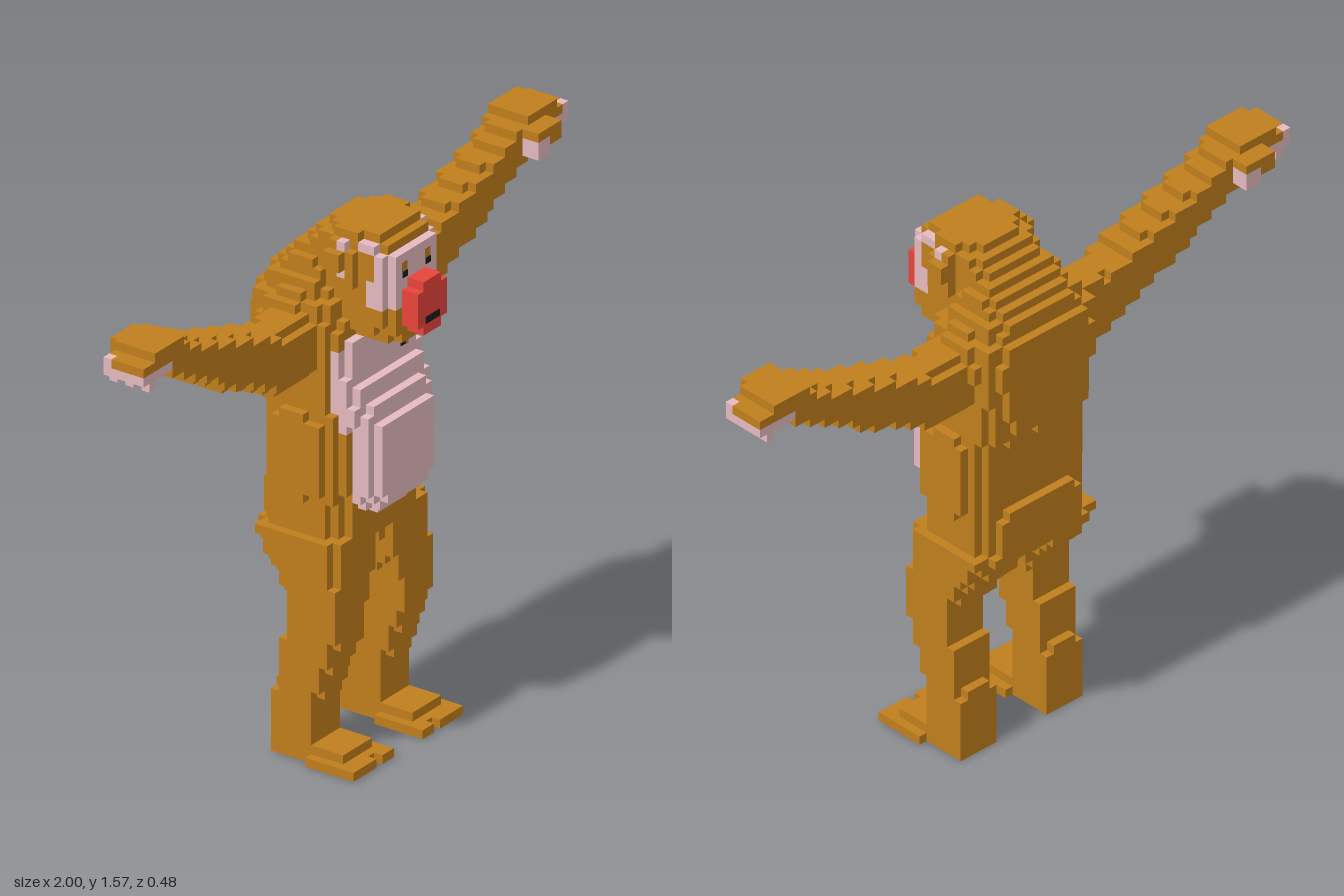
import * as THREE from 'three';

const V = 2 / 75;                 // edge of one cube
const NX = 75, NY = 59, NZ = 18;  // cube grid

const makeMat = (name, color) => {
  const m = new THREE.MeshStandardMaterial({ color });
  m.name = name;
  return m;
};

// Rounded body swept along an axis ('x' or 'y').
// rows: [t, a0, a1, b0, b1]; a is the other of x/y, b is z
function loft(axis, n, rows) {
  return (x, y, z) => {
    const t = axis === 'y' ? y : x, a = axis === 'y' ? x : y;
    if (t < rows[0][0] || t > rows[rows.length - 1][0]) return false;
    let i = 1;
    while (t > rows[i][0]) i++;
    const p = rows[i - 1], q = rows[i], k = (t - p[0]) / (q[0] - p[0]);
    const [a0, a1, b0, b1] = [1, 2, 3, 4].map(j => p[j] + (q[j] - p[j]) * k);
    const da = Math.abs((a - (a0 + a1) / 2) / ((a1 - a0) / 2));
    const db = Math.abs((z - (b0 + b1) / 2) / ((b1 - b0) / 2));
    return da ** n + db ** n <= 1;
  };
}
// Symmetric upright body, rows: [y, halfWidth, back, front]
const column = (n, rows) => loft('y', n, rows.map(([y, w, b, f]) => [y, -w, w, b, f]));
const box = (x0, x1, y0, y1, z0, z1) => (x, y, z) =>
  x > x0 && x < x1 && y > y0 && y < y1 && z > z0 && z < z1;

export function createModel() {
  const group = new THREE.Group();
  const fur = makeMat('brown fur', 0xbf7e1c);
  const skin = makeMat('pink skin', 0xe4babf);
  const red = makeMat('red muzzle', 0xe8443a);
  const black = makeMat('black', 0x1c1a18);

  const cells = new Array(NX * NY * NZ).fill(null);
  const parts = new Map();
  const at = (i, j, k) => (i < 0 || j < 0 || k < 0 || i >= NX || j >= NY || k >= NZ)
    ? null : cells[(i * NY + j) * NZ + k];
  // Fill cubes of a part; paint only relabels cubes already filled
  function add(name, mat, test, paintOnly = false) {
    parts.set(name, mat);
    for (let i = 0; i < NX; i++) for (let j = 0; j < NY; j++) for (let k = 0; k < NZ; k++) {
      const c = (i * NY + j) * NZ + k;
      if (paintOnly && !cells[c]) continue;
      if (test((i + 0.5 - NX / 2) * V, (j + 0.5) * V, (k + 0.5 - NZ / 2) * V)) cells[c] = name;
    }
  }
  const paint = (name, mat, test) => add(name, mat, test, true);

  // Torso with hunched, rounded upper back
  add('torso', fur, column(3.2, [
    [0.63, 0.2, -0.2, 0.083], [0.66, 0.207, -0.215, 0.085], [0.78, 0.207, -0.215, 0.085],
    [0.8, 0.23, -0.19, 0.085], [1.0, 0.23, -0.19, 0.085], [1.03, 0.212, -0.21, 0.08],
    [1.06, 0.212, -0.232, 0.07], [1.16, 0.212, -0.245, 0.07], [1.27, 0.225, -0.25, 0.06],
    [1.35, 0.215, -0.242, 0.04], [1.37, 0.19, -0.215, 0.01], [1.41, 0.17, -0.215, 0],
    [1.45, 0.14, -0.17, 0], [1.5, 0.1, -0.13, -0.02]]));

  // Bare chest and belly
  const bellyBody = column(4, [
    [0.73, 0.08, -0.1, 0.107], [0.765, 0.12, -0.1, 0.137], [0.8, 0.148, -0.1, 0.165],
    [0.99, 0.155, -0.1, 0.165], [1.02, 0.178, -0.1, 0.138], [1.09, 0.18, -0.1, 0.112],
    [1.14, 0.18, -0.1, 0.086], [1.2, 0.178, -0.1, 0.086], [1.255, 0.15, -0.1, 0.086]]);
  const bellyEdge = y => THREE.MathUtils.clamp(0.08 - (y - 0.9) * 0.6, 0, 0.08);
  add('belly', skin, (x, y, z) => bellyBody(x, y, z) && z > bellyEdge(y));

  // Legs and feet
  const leg = loft('y', 4, [
    [0, 0.09, 0.228, -0.134, 0.001], [0.19, 0.09, 0.228, -0.134, 0.01],
    [0.22, 0.09, 0.228, -0.108, 0.03], [0.34, 0.09, 0.228, -0.107, 0.06],
    [0.37, 0.09, 0.228, -0.082, 0.082], [0.43, 0.088, 0.228, -0.085, 0.083],
    [0.46, 0.067, 0.228, -0.09, 0.083], [0.5, 0.05, 0.228, -0.11, 0.083],
    [0.56, 0.032, 0.228, -0.14, 0.083], [0.62, 0.01, 0.228, -0.195, 0.083],
    [0.67, -0.03, 0.228, -0.21, 0.083]]);
  const sole = box(0.067, 0.253, 0, V, 0, 0.16);
  const toeGap = box(0.12, 0.147, 0, V, 0.133, 0.16);
  const instep = box(0.093, 0.226, 0, 2 * V, -0.134, 0.107);
  for (const [side, s] of [['left', 1], ['right', -1]]) {
    add(side + 'Leg', fur, (x, y, z) => s * x >= 0 && leg(s * x, y, z));
    add(side + 'Foot', fur, (x, y, z) => instep(s * x, y, z)
      || (sole(s * x, y, z) && !toeGap(s * x, y, z)));
  }

  // Arms rising outward; one is the other turned half round
  const arm = loft('x', 4, [
    [0.17, 1.148, 1.335, -0.15, 0], [0.33, 1.15, 1.325, -0.135, 0],
    [0.4, 1.185, 1.345, -0.135, 0], [0.5, 1.23, 1.39, -0.135, 0],
    [0.6, 1.27, 1.42, -0.135, 0], [0.7, 1.335, 1.45, -0.135, 0],
    [0.78, 1.38, 1.49, -0.135, 0], [0.82, 1.405, 1.523, -0.135, 0],
    [0.94, 1.438, 1.523, -0.135, 0], [0.96, 1.438, 1.497, -0.135, 0],
    [1.0, 1.438, 1.497, -0.135, 0]]);
  const thumb = box(0.787, 0.893, 1.44, 1.493, -0.187, -0.13);
  const thumbTip = box(0.787, 0.827, 1.413, 1.467, -0.187, -0.13);
  const fingertips = (x, y, z) => box(0.947, 0.973, 1.413, 1.44, -0.134, 0)(x, y, z)
    && Math.floor(-z / V) % 2 === 0;
  const palm = (x, y, z) => box(0.867, 1, 1.41, 1.467, -0.134, 0)(x, y, z)
    || box(0.973, 1, 1.41, 1.5, -0.134, -0.106)(x, y, z);
  for (const [side, s] of [['left', 1], ['right', -1]]) {
    const place = f => (x, y, z) => f(s * x, y, s > 0 ? -6 * V - z : z);
    add(side + 'Arm', fur, place(arm));
    add(side + 'Thumb', fur, place(thumb));
    add(side + 'ThumbTip', skin, place(thumbTip));
    add(side + 'Fingertips', skin, place(fingertips));
    paint(side + 'Palm', skin, place(palm));
  }

  // Head, ears and bare face
  add('head', fur, column(2.7, [
    [1.25, 0.1, -0.1, 0.19], [1.32, 0.125, -0.12, 0.203], [1.42, 0.135, -0.12, 0.19],
    [1.51, 0.135, -0.12, 0.19], [1.53, 0.13, -0.085, 0.165], [1.55, 0.12, -0.06, 0.145],
    [1.573, 0.1, -0.03, 0.135]]));
  paint('face', skin, (x, y, z) => box(-0.13, 0.13, 1.36, 1.52, 0.133, 0.2)(x, y, z)
    || box(-0.13, 0.13, 1.36, 1.44, 0.107, 0.2)(x, y, z));
  for (const [side, s] of [['left', 1], ['right', -1]]) {
    const ear = (x, y, z) => box(0.1, 0.147, 1.44, 1.547, 0, 0.053)(x, y, z)
      || box(0.14, 0.173, 1.467, 1.52, 0, 0.053)(x, y, z);
    add(side + 'Ear', fur, (x, y, z) => ear(s * x, y, z));
    paint(side + 'InnerEar', skin, (x, y, z) => box(0.12, 0.147, 1.44, 1.547, 0.027, 0.053)(s * x, y, z));
    paint(side + 'Temple', skin, (x, y, z) => box(0.08, 0.13, 1.52, 1.547, 0.08, 0.134)(s * x, y, z));
    paint(side + 'Brow', fur, (x, y, z) => box(0.027, 0.067, 1.467, 1.493, 0.133, 0.2)(s * x, y, z));
  }

  // Muzzle
  add('muzzle', red, column(6, [
    [1.28, 0.042, 0.16, 0.215], [1.3, 0.05, 0.16, 0.235], [1.32, 0.069, 0.16, 0.242],
    [1.4, 0.069, 0.16, 0.242], [1.42, 0.045, 0.16, 0.235], [1.44, 0.04, 0.16, 0.215]]));

  // Turn the exposed cube faces of every part into a mesh
  const data = new Map([...parts.keys()].map(n => [n, []]));
  for (let i = 0; i < NX; i++) for (let j = 0; j < NY; j++) for (let k = 0; k < NZ; k++) {
    const name = at(i, j, k);
    if (!name) continue;
    for (let axis = 0; axis < 3; axis++) for (const d of [1, -1]) {
      const n = [i, j, k];
      n[axis] += d;
      if (at(...n)) continue;
      const corner = (u, v) => {
        const p = [i, j, k];
        p[axis] += d > 0 ? 1 : 0;
        p[(axis + 1) % 3] += u;
        p[(axis + 2) % 3] += v;
        return [(p[0] - NX / 2) * V, p[1] * V, (p[2] - NZ / 2) * V];
      };
      const q = [corner(0, 0), corner(1, 0), corner(1, 1), corner(0, 1)];
      if (d < 0) q.reverse();
      for (const c of [0, 1, 2, 0, 2, 3]) data.get(name).push(...q[c]);
    }
  }
  for (const [name, pos] of data) {
    if (!pos.length) continue;
    const geo = new THREE.BufferGeometry();
    geo.setAttribute('position', new THREE.Float32BufferAttribute(pos, 3));
    geo.computeVertexNormals();
    const mesh = new THREE.Mesh(geo, parts.get(name));
    mesh.name = name;
    group.add(mesh);
  }

  // Thin plates set on the foremost cube: eyes, mouth and a chest mark
  const plate = (name, mat, x, y, w, h) => {
    let k = NZ - 1;
    const i = Math.floor(x / V + NX / 2), j = Math.floor(y / V);
    while (k > 0 && !at(i, j, k)) k--;
    const mesh = new THREE.Mesh(new THREE.BoxGeometry(w, h, 0.006), mat);
    mesh.position.set(x, y, (k + 1 - NZ / 2) * V);
    mesh.name = name;
    group.add(mesh);
  };
  plate('leftEye', black, 0.053, 1.457, 0.022, 0.018);
  plate('rightEye', black, -0.053, 1.457, 0.022, 0.018);
  plate('mouth', black, 0, 1.323, 0.062, 0.02);
  plate('chestMark', black, 0.085, 1.163, 0.018, 0.012);
  plate('chestMarkFur', fur, 0.102, 1.163, 0.014, 0.016);
  return group;
}
